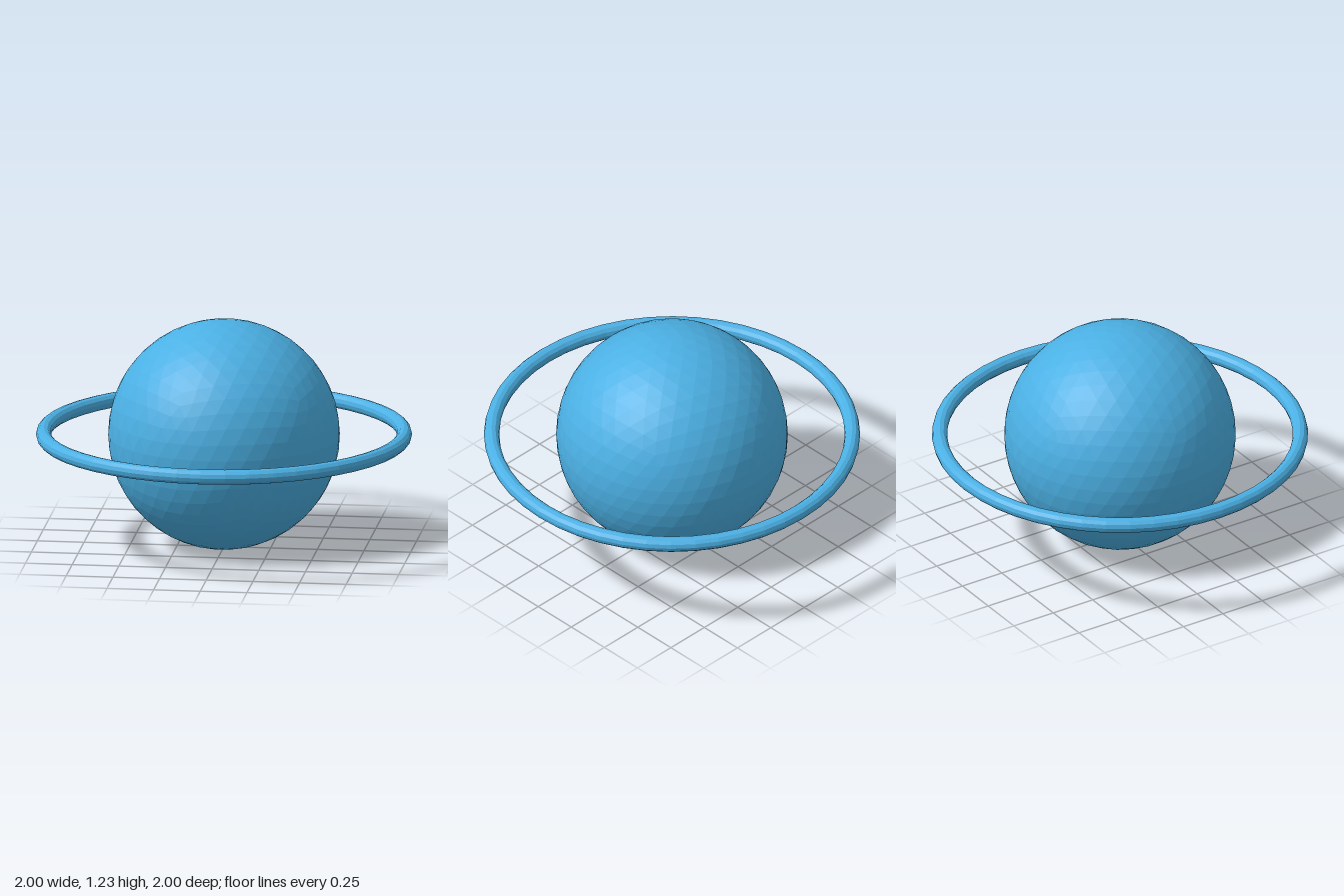
import * as THREE from 'three';

export function createModel() {
  const model = new THREE.Group();
  model.name = 'ringedPlanet';

  const blue = new THREE.MeshStandardMaterial({ color: 0x4bb0e4, flatShading: true });
  blue.name = 'sky blue';

  const radius = 0.616;
  const tube = 0.041;

  // Faceted globe, turned so that a corner sits on each pole
  const globeGeometry = new THREE.IcosahedronGeometry(radius, 7);
  globeGeometry.rotateZ(Math.atan(2 / (1 + Math.sqrt(5))));
  const globe = new THREE.Mesh(globeGeometry, blue);
  globe.name = 'globe';
  globe.position.y = radius;
  model.add(globe);

  // Level ring floating around the equator
  const ringGeometry = new THREE.TorusGeometry(1 - tube, tube, 12, 48);
  ringGeometry.rotateX(Math.PI / 2);
  const ring = new THREE.Mesh(ringGeometry, blue);
  ring.name = 'ring';
  ring.position.y = radius;
  model.add(ring);

  return model;
}
